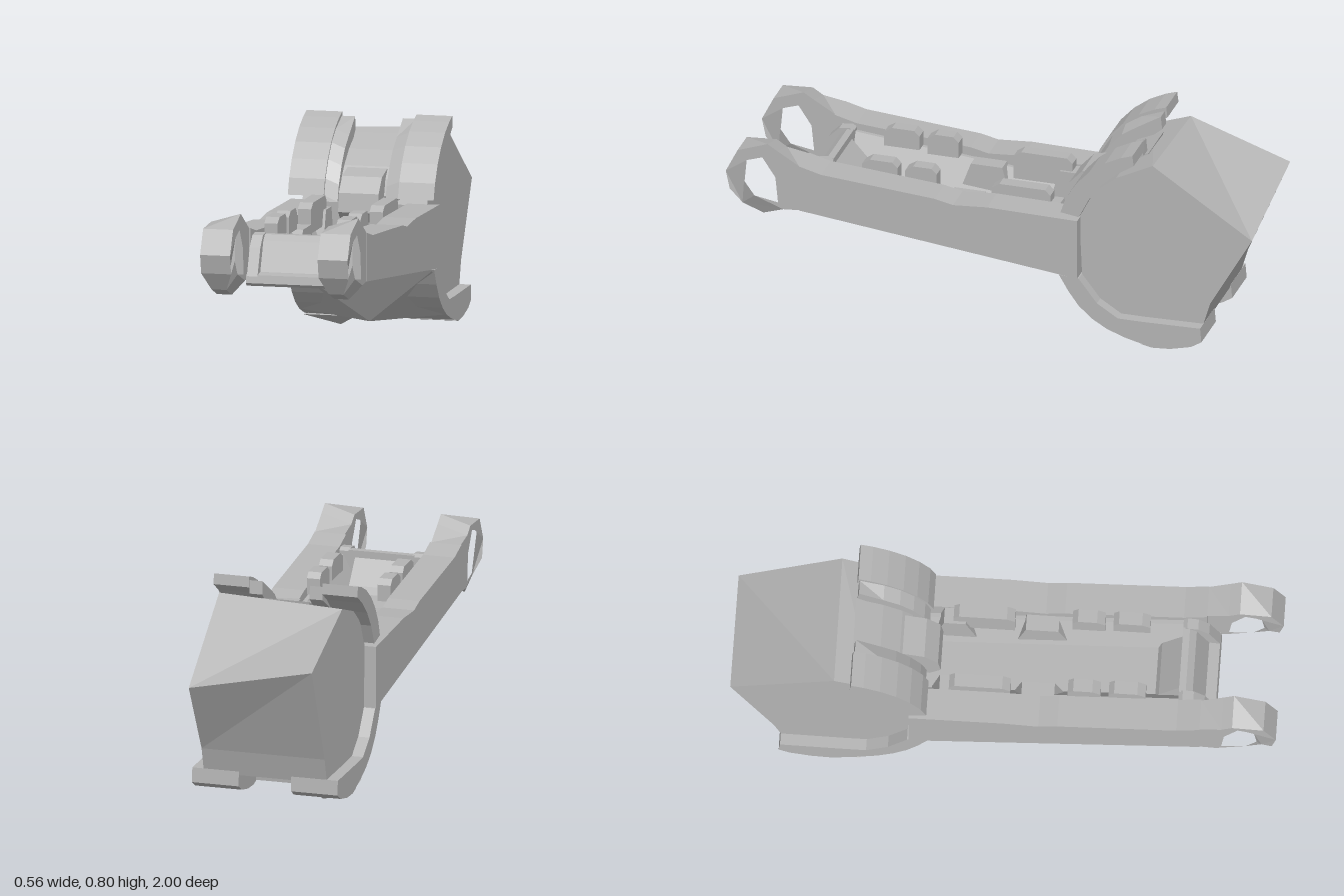
import * as THREE from 'three';
import { ConvexGeometry } from 'three/addons/geometries/ConvexGeometry.js';

export function createModel() {
  const model = new THREE.Group();
  const grey = new THREE.MeshStandardMaterial({ color: 0xb4b4b4, flatShading: true });
  grey.name = 'plain grey';

  const add = (name, geometry) => {
    const mesh = new THREE.Mesh(geometry, grey);
    mesh.name = name;
    model.add(mesh);
    return mesh;
  };
  const toPoints = (list) => list.map(([a, b]) => new THREE.Vector2(a, b));

  // Side profile of [z, y] points, swept across from x0 to x1
  const slab = (name, x0, x1, profile, hole) => {
    const shape = new THREE.Shape(toPoints(profile));
    if (hole) shape.holes.push(new THREE.Path(toPoints(hole)));
    const g = new THREE.ExtrudeGeometry(shape, { depth: x1 - x0, bevelEnabled: false });
    g.rotateY(-Math.PI / 2).translate(x1, 0, 0);
    return add(name, g);
  };
  // The same slab on both sides
  const pair = (name, x0, x1, profile, hole) => [
    slab(name + 'Left', x0, x1, profile, hole),
    slab(name + 'Right', -x1, -x0, profile, hole),
  ];
  // Move the vertices of a part by a rule
  const warp = (mesh, rule) => {
    const p = mesh.geometry.attributes.position;
    const v = new THREE.Vector3();
    for (let i = 0; i < p.count; i++) {
      rule(v.fromBufferAttribute(p, i));
      p.setXYZ(i, v.x, v.y, v.z);
    }
    mesh.geometry.computeVertexNormals();
  };
  const hull = (name, list) => add(name, new ConvexGeometry(list.map((c) => new THREE.Vector3(...c))));

  // Rear drum; its rear corner sits lower on the left side
  const drum = slab('rearDrum', -0.235, 0.235, [
    [-0.34, 0.5], [-0.36, 0.56], [-0.41, 0.625], [-0.48, 0.68], [-0.62, 0.74], [-1, 0.55],
    [-0.84, 0.22], [-0.81, 0.12], [-0.5, 0.12], [-0.42, 0.18], [-0.35, 0.27],
  ]);
  warp(drum, (v) => {
    if (v.z < -0.99) v.y -= Math.sign(v.x) * 0.05;
    else if (v.z < -0.6 && v.y > 0.7) v.y += Math.sign(v.x) * 0.01;
  });

  // Upper fenders hugging the drum, with a lower inner lip
  pair('upperFender', 0.14, 0.275, [
    [-0.28, 0.53], [-0.3, 0.59], [-0.34, 0.655], [-0.39, 0.71], [-0.45, 0.755], [-0.51, 0.785],
    [-0.555, 0.8], [-0.56, 0.76], [-0.5, 0.72], [-0.44, 0.665], [-0.39, 0.6], [-0.35, 0.52],
  ]);
  const lips = pair('fenderLip', 0.09, 0.14, [
    [-0.29, 0.53], [-0.31, 0.59], [-0.35, 0.655], [-0.4, 0.71], [-0.46, 0.75], [-0.55, 0.785],
    [-0.555, 0.735], [-0.48, 0.69], [-0.41, 0.63], [-0.35, 0.52],
  ]);
  lips.forEach((lip) => warp(lip, (v) => {
    if (Math.abs(v.x) < 0.1 && v.z > -0.54) v.y -= 0.02;
  }));

  // Strap between the fenders and the headrest in front of it
  slab('centreStrap', -0.09, 0.09, [
    [-0.33, 0.53], [-0.35, 0.59], [-0.39, 0.63], [-0.46, 0.68], [-0.56, 0.725],
    [-0.55, 0.66], [-0.42, 0.58], [-0.36, 0.5],
  ]);
  slab('headrest', -0.075, 0.075, [
    [-0.24, 0.48], [-0.25, 0.55], [-0.3, 0.605], [-0.38, 0.625], [-0.38, 0.46], [-0.28, 0.44],
  ]);

  // Lower shell under the drum, its pointed front pan and the two rear lugs
  slab('lowerShell', -0.278, 0.278, [
    [-0.275, 0.275], [-0.31, 0.215], [-0.35, 0.16], [-0.4, 0.115], [-0.46, 0.08], [-0.53, 0.055],
    [-0.6, 0.038], [-0.61, 0.13], [-0.5, 0.13], [-0.42, 0.18], [-0.35, 0.27],
  ]);
  hull('frontPan', [
    [-0.27, 0.27, -0.275], [0.27, 0.27, -0.275], [0, 0.052, -0.41],
    [-0.27, 0.08, -0.46], [0.27, 0.08, -0.46], [0, 0.038, -0.6],
  ]);
  pair('rearLug', 0.1, 0.278, [
    [-0.59, 0.038], [-0.63, 0.03], [-0.7, 0.035], [-0.78, 0.055], [-0.82, 0.08], [-0.815, 0.135], [-0.59, 0.13],
  ]);
  // Small keel at the lowest point
  hull('lowerKeel', [
    [-0.278, 0.05, -0.52], [-0.278, 0.036, -0.68], [-0.165, 0, -0.63], [-0.1, 0.036, -0.6], [-0.17, 0.06, -0.75],
  ]);

  // Side rails running forward
  pair('sideRail', 0.16, 0.28, [
    [-0.345, 0.27], [-0.345, 0.505], [0, 0.51], [0.13, 0.5], [0.2, 0.515], [0.635, 0.548],
    [0.72, 0.57], [0.72, 0.39],
  ]);
  // Open rings at the rail ends, tilted on top and pinched below
  const rings = pair('frontRing', 0.165, 0.278, [
    [0.72, 0.39], [0.72, 0.57], [0.8, 0.615], [0.84, 0.64], [0.955, 0.6], [1, 0.51],
    [0.985, 0.44], [0.945, 0.375], [0.865, 0.345], [0.78, 0.385],
  ], [
    [0.8, 0.41], [0.81, 0.51], [0.86, 0.585], [0.92, 0.565], [0.93, 0.48], [0.89, 0.425],
  ]);
  rings.forEach((ring) => warp(ring, (v) => {
    const centre = Math.sign(v.x) * 0.22;
    if (v.y > 0.61) v.y += (v.x - centre) * 0.3 - 0.015;
    else if (v.y < 0.38 && v.z > 0.85) v.x = centre + (v.x - centre) * 0.5;
  }));

  // Tub: U-shaped cross-section, rising towards the front
  const tub = add('tub', new THREE.ExtrudeGeometry(new THREE.Shape(toPoints([
    [-0.165, 0.02], [-0.145, 0], [0.145, 0], [0.165, 0.02], [0.165, 0.17], [0.145, 0.17],
    [0.09, 0.06], [-0.09, 0.06], [-0.145, 0.17], [-0.165, 0.17],
  ])), { depth: 1.04, bevelEnabled: false }));
  warp(tub, (v) => {
    v.z -= 0.35;
    v.y += 0.292 + 0.0946 * v.z;
  });

  // Ramp closing the front of the tub
  slab('tubRamp', -0.1, 0.1, [[0.54, 0.39], [0.56, 0.43], [0.65, 0.53], [0.65, 0.37]]);

  // Front tray: base, leaning back panel and cheeks
  slab('trayBase', -0.163, 0.163, [
    [0.63, 0.355], [0.63, 0.42], [0.74, 0.41], [0.77, 0.405], [0.775, 0.375], [0.765, 0.364],
  ]);
  slab('trayPanel', -0.125, 0.125, [[0.635, 0.4], [0.635, 0.54], [0.66, 0.54], [0.685, 0.52], [0.735, 0.4]]);
  pair('trayCheek', 0.12, 0.16, [
    [0.635, 0.4], [0.635, 0.535], [0.65, 0.545], [0.69, 0.54], [0.73, 0.5], [0.772, 0.4],
  ]);

  // Armrest pads and brackets along the inner walls: [z start, z end, bottom, top]
  [[0.38, 0.515, 0.5, 0.575], [0.23, 0.35, 0.49, 0.572], [-0.205, 0.02, 0.44, 0.55]].forEach(([a, b, lo, hi]) =>
    pair('armrest', 0.11, 0.16, [
      [a, lo], [a, hi - 0.02], [a + 0.02, hi], [b - 0.03, hi], [b, hi - 0.02], [b, lo],
    ]));
  [[-0.27, -0.12, 0.5], [0.03, 0.22, 0.48]].forEach(([a, b, hi]) =>
    pair('wallBracket', 0.1, 0.165, [[a, 0.37], [a + 0.03, hi], [b - 0.04, hi], [b, 0.37]]));

  return model;
}
